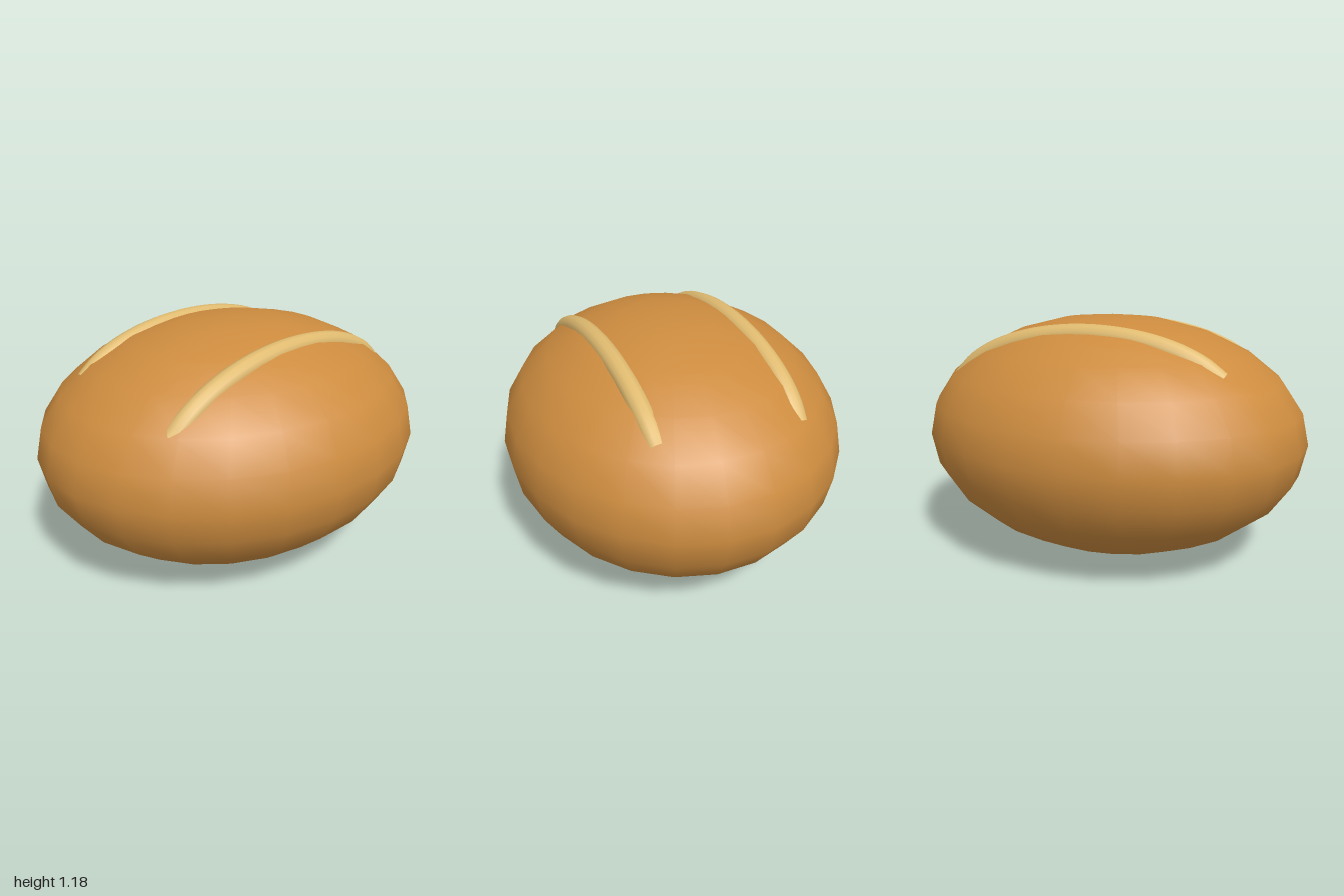
import * as THREE from 'three';

const RX = 1, RY = 0.592, RZ = 0.84, CY = 0.597;

// Point on the loaf's upper surface above (x, z), sunk along the normal
function surfacePoint(x, z, sink) {
  const y = RY * Math.sqrt(1 - (x / RX) ** 2 - (z / RZ) ** 2);
  const normal = new THREE.Vector3(x / RX ** 2, y / RY ** 2, z / RZ ** 2).normalize();
  return new THREE.Vector3(x, y + CY, z).addScaledVector(normal, -sink);
}

// Raised slash running diagonally across the crust, its ends sinking in
function makeScore(name, from, to, radius, material) {
  const points = [];
  const steps = 16;
  for (let i = 0; i <= steps; i++) {
    const t = i / steps;
    const end = Math.abs(2 * t - 1) ** 6;
    points.push(surfacePoint(
      THREE.MathUtils.lerp(from[0], to[0], t),
      THREE.MathUtils.lerp(from[1], to[1], t),
      radius * (0.55 + 0.5 * end)));
  }
  const path = new THREE.CatmullRomCurve3(points);
  const mesh = new THREE.Mesh(new THREE.TubeGeometry(path, 32, radius, 12, false), material);
  mesh.name = name;
  return mesh;
}

export function createModel() {
  const crust = new THREE.MeshStandardMaterial({ color: 0xcd8c3f });
  crust.name = 'crust brown';
  const crumb = new THREE.MeshStandardMaterial({ color: 0xe0bb70, side: THREE.DoubleSide });
  crumb.name = 'pale crumb';

  const model = new THREE.Group();
  model.name = 'breadLoaf';

  // Loaf body
  const bodyGeometry = new THREE.SphereGeometry(1, 24, 12);
  bodyGeometry.scale(RX, RY, RZ);
  bodyGeometry.translate(0, CY, 0);
  const body = new THREE.Mesh(bodyGeometry, crust);
  body.name = 'loafBody';
  model.add(body);

  // Two parallel slashes
  model.add(
    makeScore('frontScore', [-0.64, 0.485], [0.75, 0.245], 0.05, crumb),
    makeScore('backScore', [-0.72, -0.215], [0.66, -0.445], 0.055, crumb));

  return model;
}
